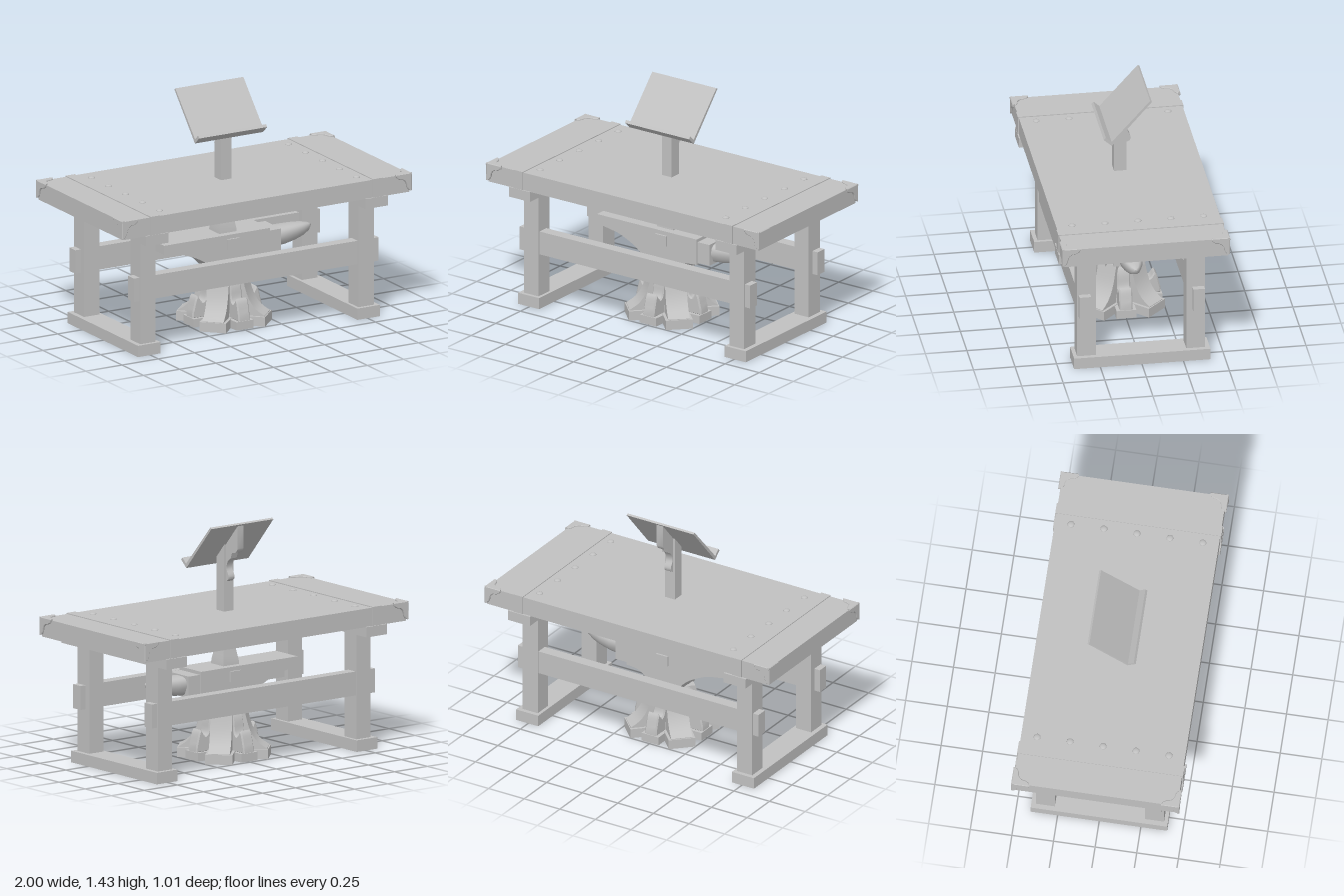
import * as THREE from 'three';
import { toCreasedNormals } from 'three/addons/utils/BufferGeometryUtils.js';

const grey = new THREE.MeshStandardMaterial({ color: 0xc0c0c0 });
grey.name = 'plain grey';

function add(parent, name, geo) {
  const mesh = new THREE.Mesh(geo, grey);
  mesh.name = name;
  parent.add(mesh);
  return mesh;
}

// Box given by its limits on each axis
function box(parent, name, x0, x1, y0, y1, z0, z1) {
  const mesh = add(parent, name, new THREE.BoxGeometry(x1 - x0, y1 - y0, z1 - z0));
  mesh.position.set((x0 + x1) / 2, (y0 + y1) / 2, (z0 + z1) / 2);
  return mesh;
}

// Outline extruded along z, centred on z = 0
function slab(points, depth, bevel = 0) {
  const shape = new THREE.Shape(points.map(p => new THREE.Vector2(...p)));
  const geo = new THREE.ExtrudeGeometry(shape, {
    depth: depth - 2 * bevel, bevelEnabled: bevel > 0, bevelSize: bevel,
    bevelThickness: bevel, bevelOffset: -bevel, bevelSegments: 1
  });
  geo.translate(0, 0, bevel - depth / 2);
  return toCreasedNormals(geo, 0.6);
}

// Smooth points through a few control points
function smooth(points, n = 16) {
  const curve = new THREE.SplineCurve(points.map(p => new THREE.Vector2(...p)));
  return curve.getPoints(n).map(p => [p.x, p.y]);
}

// Skin over closed rings of equal length, capped at both ends
function loft(rings, crease = 0.6) {
  const n = rings[0].length, pos = rings.flat(2), index = [];
  for (let r = 0; r < rings.length - 1; r++) {
    for (let i = 0; i < n; i++) {
      const a = r * n + i, b = r * n + (i + 1) % n;
      index.push(a, b, a + n, b, b + n, a + n);
    }
  }
  const last = (rings.length - 1) * n;
  for (let i = 1; i < n - 1; i++) {
    index.push(0, i + 1, i, last, last + i, last + i + 1);
  }
  const geo = new THREE.BufferGeometry();
  geo.setAttribute('position', new THREE.Float32BufferAttribute(pos, 3));
  geo.setIndex(index);
  return toCreasedNormals(geo, crease);
}

// Square column from [height, half width] pairs
function column(sections) {
  return loft(sections.map(([y, s]) => [[s, y, s], [s, y, -s], [-s, y, -s], [-s, y, s]]));
}

function buildTable() {
  const table = new THREE.Group();
  table.name = 'table';
  box(table, 'tableTop', -0.99, 0.99, 0.77, 0.882, -0.492, 0.492);

  for (const s of [-1, 1]) {
    const side = new THREE.Group();
    side.name = s > 0 ? 'leftTrestle' : 'rightTrestle';
    side.scale.x = s;
    table.add(side);
    box(side, 'strap', 0.735, 0.8, 0.765, 0.887, -0.498, 0.498);
    box(side, 'crossBearer', 0.68, 0.835, 0.71, 0.772, -0.505, 0.5);
    box(side, 'foot', 0.68, 0.835, 0, 0.07, -0.412, 0.408);
    for (const z of [-1, 1]) {
      box(side, 'leg', 0.7, 0.806, 0.07, 0.71, z * 0.328 - 0.057, z * 0.328 + 0.057);
    }
    // Row of rivets
    for (let i = -2; i <= 2; i++) {
      const rivet = add(side, 'rivet', new THREE.SphereGeometry(0.021, 12, 8));
      rivet.scale.y = 0.45;
      rivet.position.set(0.68, 0.882, i * 0.198);
    }
  }
  for (const z of [-1, 1]) {
    box(table, 'stretcher', -0.845, 0.845, 0.335, 0.48, z * 0.342 - 0.035, z * 0.342 + 0.035);
  }

  // Corner guards: three scalloped plates meeting at each corner
  const edge = [[0, 0], [-0.11, 0], [-0.105, -0.022], [-0.085, -0.034], [-0.062, -0.038],
    [-0.048, -0.048], [-0.038, -0.062], [-0.034, -0.085], [-0.022, -0.105], [0, -0.11]];
  const t = 0.016;
  for (const sx of [-1, 1]) for (const sz of [-1, 1]) {
    const guard = new THREE.Group();
    guard.name = 'cornerGuard';
    guard.scale.set(sx, 1, sz);
    table.add(guard);
    const plate = () => slab(edge, t, 0.004).translate(0, 0, -t / 2);
    add(guard, 'guardFace', plate()).position.set(1, 0.89, 0.505);
    add(guard, 'guardTop', plate().rotateX(Math.PI / 2).translate(0, -t, 0)).position.set(1, 0.89, 0.505);
    add(guard, 'guardEnd', plate().rotateY(-Math.PI / 2).translate(-t, 0, 0)).position.set(1, 0.89, 0.505);
  }
  return table;
}

function buildAnvil() {
  const anvil = new THREE.Group();
  anvil.name = 'anvil';

  // Body with heel, face and narrowing waist
  const under = smooth([[0.24, 0.395], [0.17, 0.385], [0.11, 0.34], [0.085, 0.27]], 10);
  const heel = smooth([[-0.085, 0.27], [-0.11, 0.335], [-0.19, 0.41], [-0.3, 0.465], [-0.375, 0.482]], 14);
  const outline = [[-0.475, 0.557], [0.255, 0.557], [0.255, 0.395], ...under, ...heel, [-0.475, 0.5]];
  add(anvil, 'anvilBody', slab(outline, 0.208));
  box(anvil, 'hornStep', 0.25, 0.34, 0.405, 0.537, -0.092, 0.092);
  box(anvil, 'sideNub', -0.04, 0.04, 0.468, 0.532, -0.116, 0.116);

  // Horn: rounded sections from [x, centre y, half height, half width]
  const sections = [[0.33, 0.47, 0.06, 0.075], [0.4, 0.473, 0.057, 0.072], [0.47, 0.48, 0.05, 0.062],
    [0.53, 0.487, 0.04, 0.046], [0.575, 0.494, 0.025, 0.026], [0.597, 0.502, 0.006, 0.006]];
  const soft = v => Math.sign(v) * Math.pow(Math.abs(v), 0.65);
  add(anvil, 'horn', loft(sections.map(([x, y, h, w]) => Array.from({ length: 20 }, (_, i) => {
    const a = i / 20 * Math.PI * 2;
    return [x, y + soft(Math.cos(a)) * h, soft(Math.sin(a)) * w * (Math.cos(a) < -0.3 ? 0.85 : 1)];
  })), 1));

  // Pedestal core
  add(anvil, 'pedestal', column([[0.04, 0.14], [0.1, 0.135], [0.17, 0.11], [0.24, 0.092], [0.31, 0.085]]));

  // Scrolled fins on the axes, spreading feet on the diagonals
  const fin = [[0, 0.05], [0.24, 0.05], [0.238, 0.09],
    ...smooth([[0.232, 0.11], [0.218, 0.165], [0.204, 0.187]], 5),
    ...smooth([[0.196, 0.18], [0.172, 0.148], [0.148, 0.17], [0.138, 0.24], [0.118, 0.285], [0.085, 0.31]], 14),
    [0, 0.31]];
  const foot = [[0, 0.05], [0.265, 0.05],
    ...smooth([[0.265, 0.062], [0.205, 0.105], [0.16, 0.18], [0.128, 0.3]], 10), [0, 0.3]];
  for (let i = 0; i < 4; i++) {
    const arm = new THREE.Group();
    arm.name = 'baseQuarter';
    arm.rotation.y = i * Math.PI / 2;
    anvil.add(arm);
    add(arm, 'fin', slab(fin, 0.08, 0.008));
    box(arm, 'finBlock', 0.05, 0.245, 0.004, 0.055, -0.06, 0.06);
    const diagonal = new THREE.Group();
    diagonal.name = 'cornerFoot';
    diagonal.rotation.y = Math.PI / 4;
    arm.add(diagonal);
    box(diagonal, 'footPad', 0, 0.272, 0, 0.058, -0.0815, 0.0815);
    add(diagonal, 'footSlope', slab(foot, 0.13));
  }
  return anvil;
}

function buildLectern() {
  const lectern = new THREE.Group();
  lectern.name = 'lectern';
  add(lectern, 'flaredPost', column([[0.55, 0.06], [0.58, 0.058], [0.62, 0.051],
    [0.67, 0.042], [0.73, 0.037], [0.78, 0.036]]));
  // Side outlines in (z, y), extruded across x
  const across = (name, points, width) => add(lectern, name, slab(points, width).rotateY(-Math.PI / 2));
  across('post', [[0.04, 0.76], [0.04, 1.205], [-0.036, 1.293], [-0.036, 0.76]], 0.07);
  across('board', [[0.083, 1.152], [0.132, 1.195], [0.12, 1.21], [0.085, 1.178],
    [-0.146, 1.435], [-0.157, 1.427]], 0.47);
  across('scrollBracket', [[-0.02, 1.27], [-0.148, 1.418],
    ...smooth([[-0.148, 1.28], [-0.135, 1.256], [-0.115, 1.248], [-0.095, 1.245]], 6),
    ...smooth([[-0.082, 1.21], [-0.055, 1.188], [-0.041, 1.145], [-0.06, 1.105], [-0.06, 1.08], [-0.04, 1.065]], 14),
    [-0.02, 1.065]], 0.045);
  lectern.position.x = -0.008;
  lectern.children.forEach(m => { if (m.name === 'board') m.position.x = -0.007; });
  return lectern;
}

export function createModel() {
  const model = new THREE.Group();
  model.name = 'workbench';
  model.add(buildTable(), buildAnvil(), buildLectern());
  return model;
}
